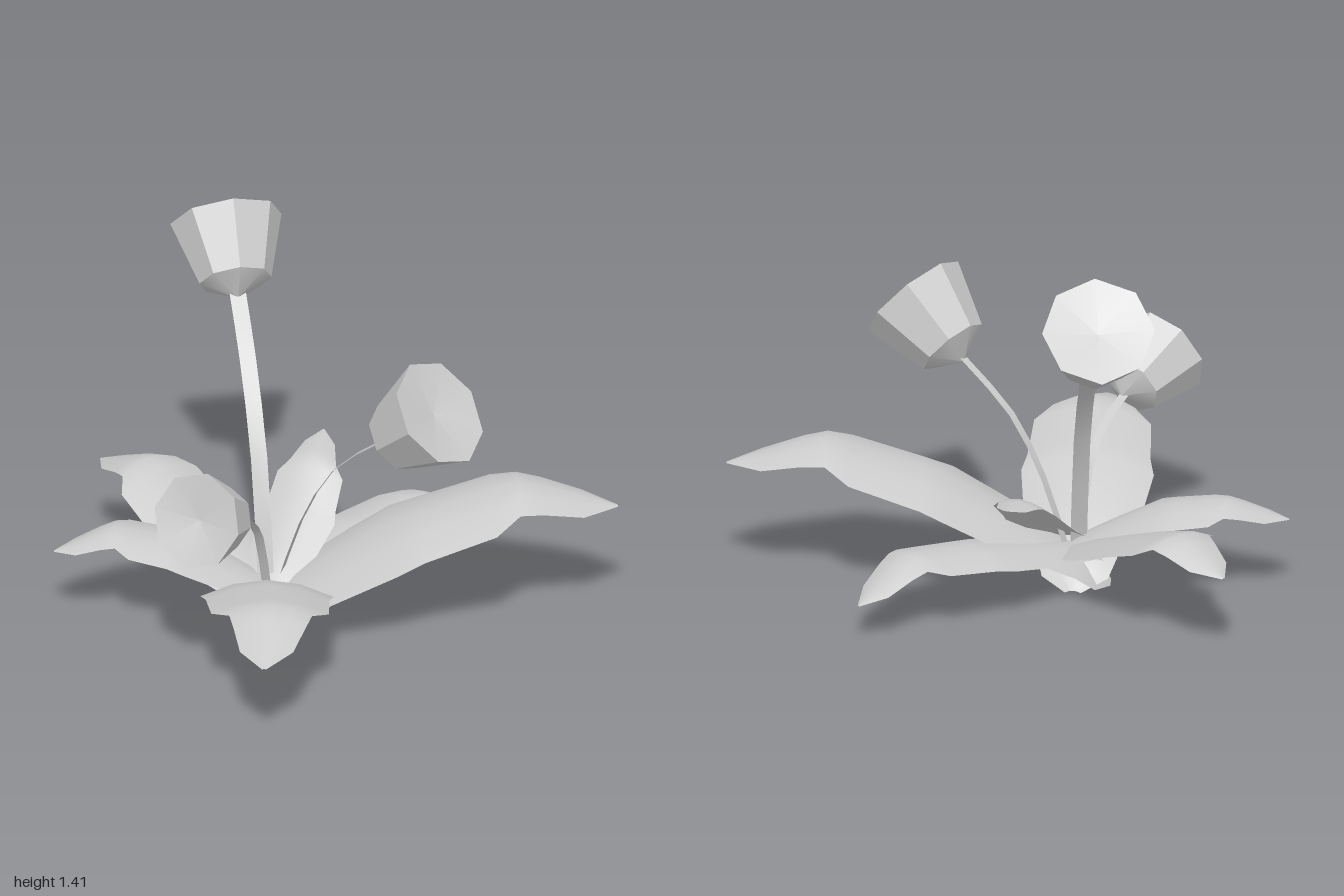
import * as THREE from 'three';

const smooth = new THREE.MeshStandardMaterial({ color: 0xcccccc, side: THREE.DoubleSide });
const faceted = new THREE.MeshStandardMaterial({ color: 0xcccccc, side: THREE.DoubleSide, flatShading: true });
const V = (p) => new THREE.Vector3(...p);

function mesh(geometry, material, name) {
  const m = new THREE.Mesh(geometry, material);
  m.name = name;
  return m;
}

// Thin strip: rows of points along a path, cols across it
function gridSurface(rows, cols, pointAt) {
  const pos = [], index = [];
  for (let i = 0; i < rows; i++) {
    for (let j = 0; j < cols; j++) {
      pos.push(...pointAt(i, (j / (cols - 1)) * 2 - 1).toArray());
      if (i && j) {
        const d = i * cols + j, c = d - 1, b = d - cols, a = b - 1;
        index.push(a, c, b, b, c, d);
      }
    }
  }
  const g = new THREE.BufferGeometry();
  g.setAttribute('position', new THREE.Float32BufferAttribute(pos, 3));
  g.setIndex(index);
  g.computeVertexNormals();
  return g;
}

// Horizontal direction square to the run from a to b
function sideways(a, b) {
  return new THREE.Vector3(b.z - a.z, 0, a.x - b.x).normalize();
}

// Leaf outline: [position along the spine, share of full half width]
const OUTLINE = [[0, 0.12], [0.12, 0.5], [0.25, 0.62], [0.37, 0.88], [0.5, 1], [0.57, 0.93],
  [0.68, 0.88], [0.74, 0.62], [0.82, 0.54], [0.9, 0.4], [1, 0.03]];

function leaf(points, halfWidth) {
  const pts = points.map(V);
  const spine = new THREE.CatmullRomCurve3(pts, false, 'catmullrom', 0.15);
  const side = sideways(pts[1], pts[4]);
  const g = gridSurface(OUTLINE.length, 5, (i, s) => {
    const [t, w] = OUTLINE[i];
    const p = spine.getPoint(t).addScaledVector(side, -s * w * halfWidth);
    p.y -= 0.28 * s * s * w * halfWidth;
    return p;
  });
  return mesh(g, smooth, 'leaf');
}

// Flat ribbon stem
function stem(points, halfWidth) {
  const pts = points.map(V);
  const curve = new THREE.CatmullRomCurve3(pts);
  const side = sideways(pts[0], pts[pts.length - 1]);
  const g = gridSurface(9, 2, (i, s) => curve.getPoint(i / 8).addScaledVector(side, -s * halfWidth));
  return mesh(g, smooth, 'stem');
}

// Eight-sided cup with a pointed underside and a shallow dish inside the rim
function blossom(apex, axis, scale) {
  const ring = (...p) => new THREE.LatheGeometry(p.map(([r, y]) => new THREE.Vector2(r, y)), 8);
  const g = new THREE.Group();
  g.name = 'blossom';
  g.add(
    mesh(ring([0, 0], [0.132, 0.07]), smooth, 'blossomBase'),
    mesh(ring([0.132, 0.07], [0.204, 0.308]), faceted, 'petals'),
    mesh(ring([0.204, 0.308], [0, 0.275]), smooth, 'blossomDish')
  );
  g.position.set(...apex);
  g.quaternion.setFromUnitVectors(new THREE.Vector3(0, 1, 0), V(axis).normalize());
  g.scale.setScalar(scale);
  return g;
}

export function createModel() {
  const model = new THREE.Group();
  model.name = 'floweringPlant';

  // Leaves: tail below the crown, crown, middle, fold, tip
  const leaves = [
    [[[-0.37, 0.01, -0.08], [-0.25, 0.13, -0.06], [0.2, 0.4, 0.01], [0.65, 0.545, 0.07], [1, 0.44, 0.12]], 0.285],
    [[[-0.08, 0.05, -0.02], [-0.25, 0.17, -0.06], [-0.54, 0.32, -0.14], [-0.78, 0.36, -0.22], [-1, 0.28, -0.23]], 0.18],
    [[[-0.2, 0.06, 0.06], [-0.25, 0.15, -0.05], [-0.44, 0.3, -0.37], [-0.57, 0.405, -0.65], [-0.7, 0.31, -0.86]], 0.2],
    [[[-0.33, 0.05, 0.08], [-0.25, 0.18, -0.05], [-0.1, 0.34, -0.26], [-0.01, 0.47, -0.42], [0.06, 0.49, -0.58]], 0.14],
    [[[-0.37, 0.07, 0.02], [-0.25, 0.15, -0.05], [0.1, 0.245, -0.27], [0.4, 0.275, -0.43], [0.59, 0.14, -0.57]], 0.185],
    [[[-0.22, 0.02, -0.2], [-0.25, 0.15, -0.06], [-0.32, 0.35, 0.28], [-0.38, 0.435, 0.65], [-0.46, 0.33, 0.93]], 0.24],
  ];
  for (const [points, halfWidth] of leaves) model.add(leaf(points, halfWidth));

  // Stems, each running up into its blossom
  model.add(
    stem([[-0.255, 0.12, -0.05], [-0.255, 0.6, -0.19], [-0.255, 0.9, -0.4], [-0.255, 1.06, -0.57], [-0.255, 1.25, -0.77]], 0.03),
    stem([[-0.22, 0.1, -0.08], [-0.13, 0.4, -0.05], [-0.02, 0.63, 0.01], [0.13, 0.79, 0.13], [0.26, 0.92, 0.26]], 0.018),
    stem([[-0.25, 0.12, -0.06], [-0.3, 0.4, 0.03], [-0.36, 0.52, 0.13], [-0.44, 0.59, 0.23], [-0.55, 0.67, 0.37]], 0.018)
  );

  // Blossoms
  model.add(
    blossom([-0.255, 1.053, -0.573], [0, 0.67, -0.74], 1),
    blossom([0.138, 0.785, 0.143], [0.55, 0.63, 0.55], 1),
    blossom([-0.44, 0.592, 0.238], [-0.62, 0.36, 0.69], 0.87)
  );
  return model;
}
